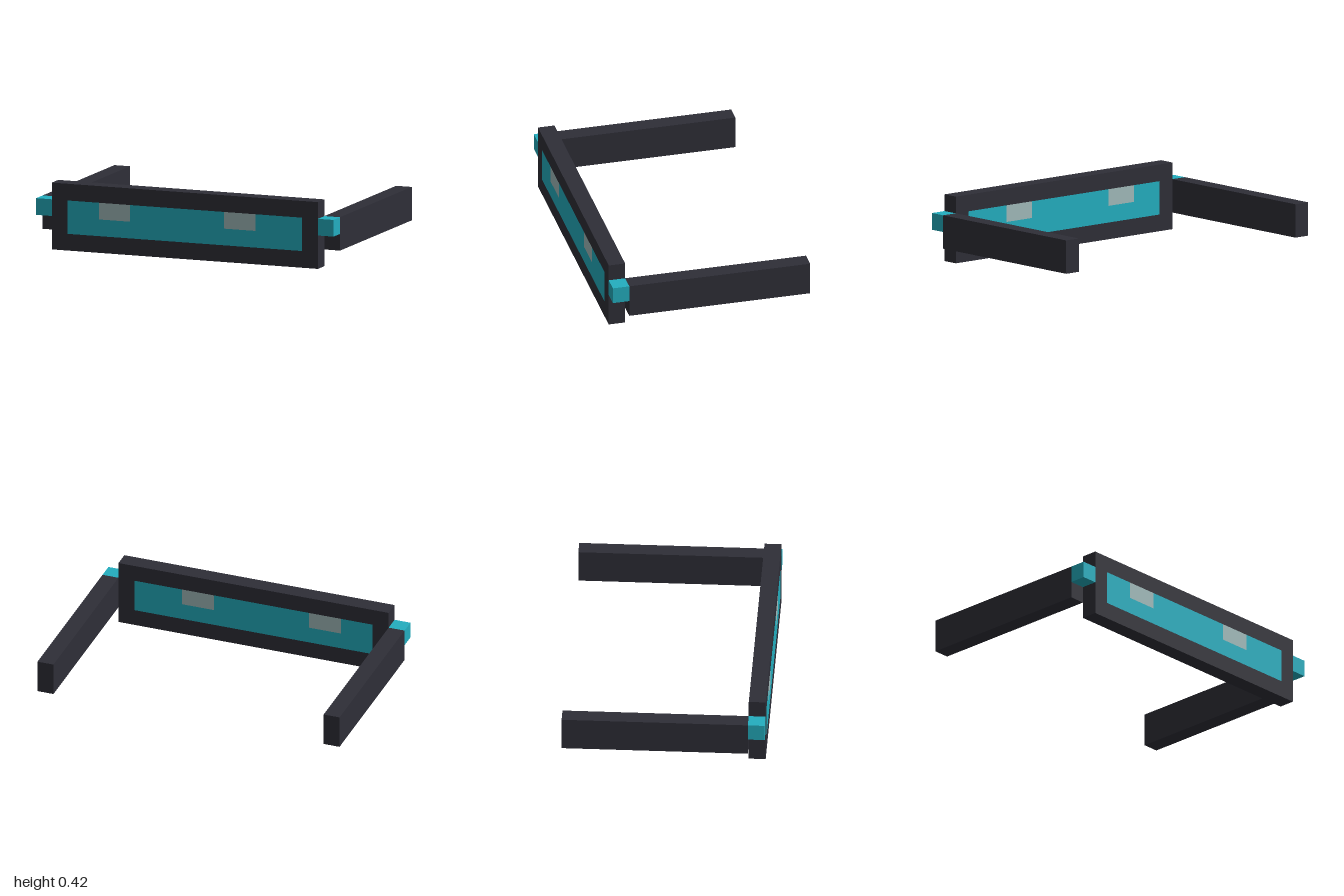
import * as THREE from 'three';

const U = 2 / 19; // one block
const frameMat = new THREE.MeshStandardMaterial({ color: 0x2e2e37 });
frameMat.name = 'charcoal';
const lensMat = new THREE.MeshStandardMaterial({ color: 0x23aebf });
lensMat.name = 'teal';
const glintMat = new THREE.MeshStandardMaterial({ color: 0xa1bbbb });
glintMat.name = 'pale grey';

// Box given by its corner limits in blocks
function block(name, mat, [x0, x1], [y0, y1], [z0, z1]) {
  const mesh = new THREE.Mesh(
    new THREE.BoxGeometry((x1 - x0) * U, (y1 - y0) * U, (z1 - z0) * U), mat);
  mesh.position.set((x0 + x1) / 2 * U, (y0 + y1) / 2 * U, (z0 + z1) / 2 * U);
  mesh.name = name;
  return mesh;
}

// Rectangle outline in model units
function rectangle(Type, x0, x1, y0, y1) {
  return new Type([[x0, y0], [x1, y0], [x1, y1], [x0, y1]]
    .map(([x, y]) => new THREE.Vector2(x * U, y * U)));
}

export function createModel() {
  const model = new THREE.Group();
  model.name = 'glasses';
  const depth = [5, 6];

  // Front frame with one wide opening
  const outline = rectangle(THREE.Shape, -8.5, 8.5, 0, 4);
  outline.holes.push(rectangle(THREE.Path, -7.5, 7.5, 1, 3));
  const frame = new THREE.Mesh(
    new THREE.ExtrudeGeometry(outline, { depth: U, bevelEnabled: false }), frameMat);
  frame.position.z = 5 * U;
  frame.name = 'frontFrame';
  model.add(frame);

  // Lens: full lower strip, upper strip broken by two glints
  model.add(block('lensLower', lensMat, [-7.5, 7.5], [1, 2], depth));
  for (const span of [[-7.5, -5.5], [-3.5, 2.5], [4.5, 7.5]])
    model.add(block('lensUpper', lensMat, span, [2, 3], depth));
  for (const span of [[-5.5, -3.5], [2.5, 4.5]])
    model.add(block('lensGlint', glintMat, span, [2, 3], depth));

  // Hinges and temple arms on both sides
  for (const [side, span] of [['left', [8.5, 9.5]], ['right', [-9.5, -8.5]]]) {
    model.add(block(side + 'Hinge', lensMat, span, [2, 3], depth));
    model.add(block(side + 'Temple', frameMat, span, [1, 3], [-6, 5]));
  }
  return model;
}
